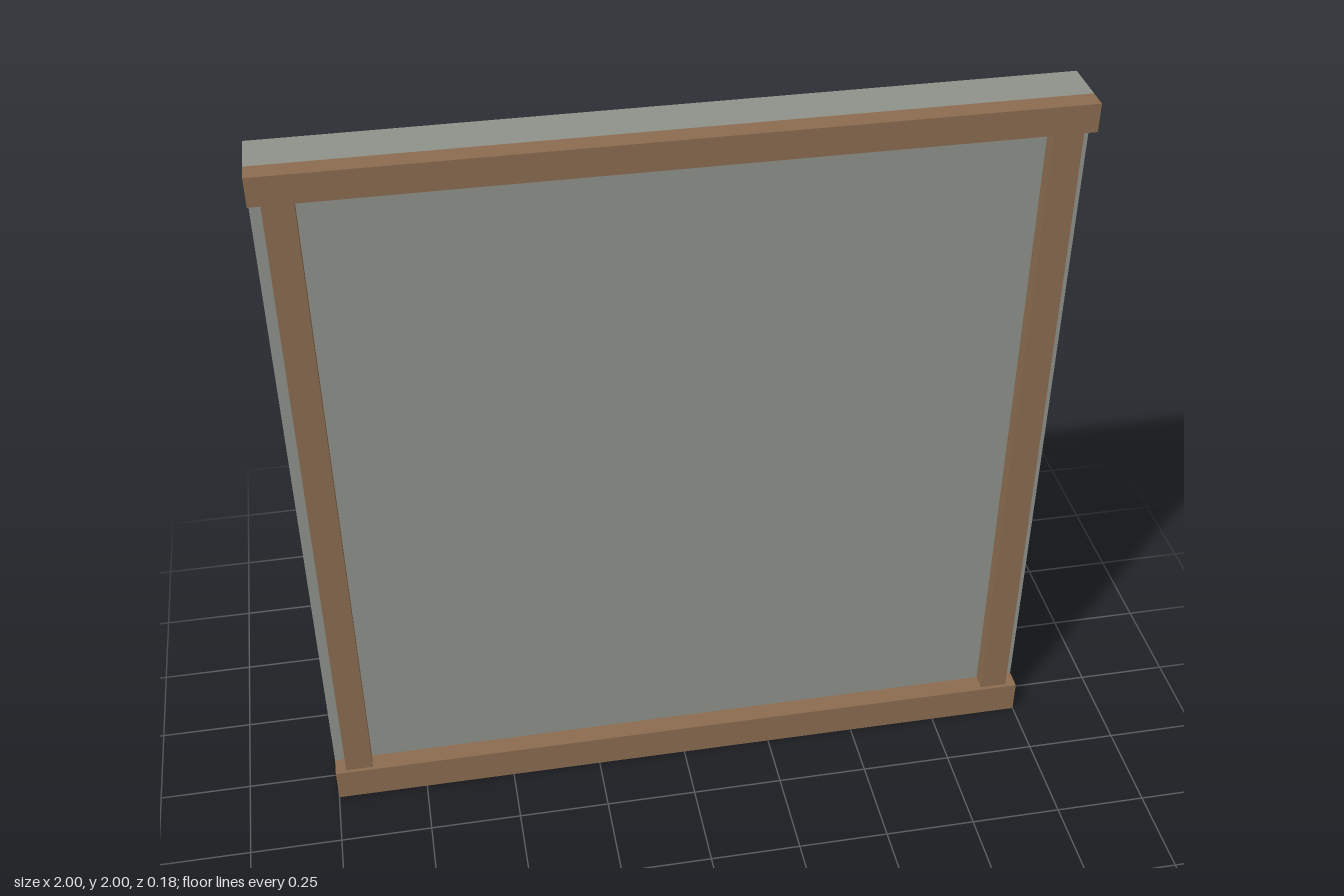
import * as THREE from 'three';

export function createModel() {
  const group = new THREE.Group();
  const wood = new THREE.MeshStandardMaterial({ color: 0x8b6b4f });
  const plaster = new THREE.MeshStandardMaterial({ color: 0x8e918a });

  // Box given by its minimum and maximum corners
  function box(name, material, [x0, y0, z0], [x1, y1, z1]) {
    const mesh = new THREE.Mesh(new THREE.BoxGeometry(x1 - x0, y1 - y0, z1 - z0), material);
    mesh.position.set((x0 + x1) / 2, (y0 + y1) / 2, (z0 + z1) / 2);
    mesh.name = name;
    group.add(mesh);
    return mesh;
  }

  const back = -0.088, face = 0.034, railFront = 0.088, postFront = 0.078;
  const railTop = 0.095, beamBottom = 1.925;

  // Wall slab
  box('wallPanel', plaster, [-1, 0, back], [1, 2, face]);

  // Horizontal beams along the top and bottom of the front
  box('bottomRail', wood, [-1, 0, face], [1, railTop, railFront]);
  box('topRail', wood, [-1, beamBottom, face], [1, 2, railFront]);

  // Upright posts, slightly recessed behind the rails and inset from the ends
  for (const [name, side] of [['leftPost', 1], ['rightPost', -1]]) {
    const post = box(name, wood, [-0.0375, railTop, face], [0.0375, beamBottom, postFront]);
    post.position.x = side * 0.933;
  }

  return group;
}
